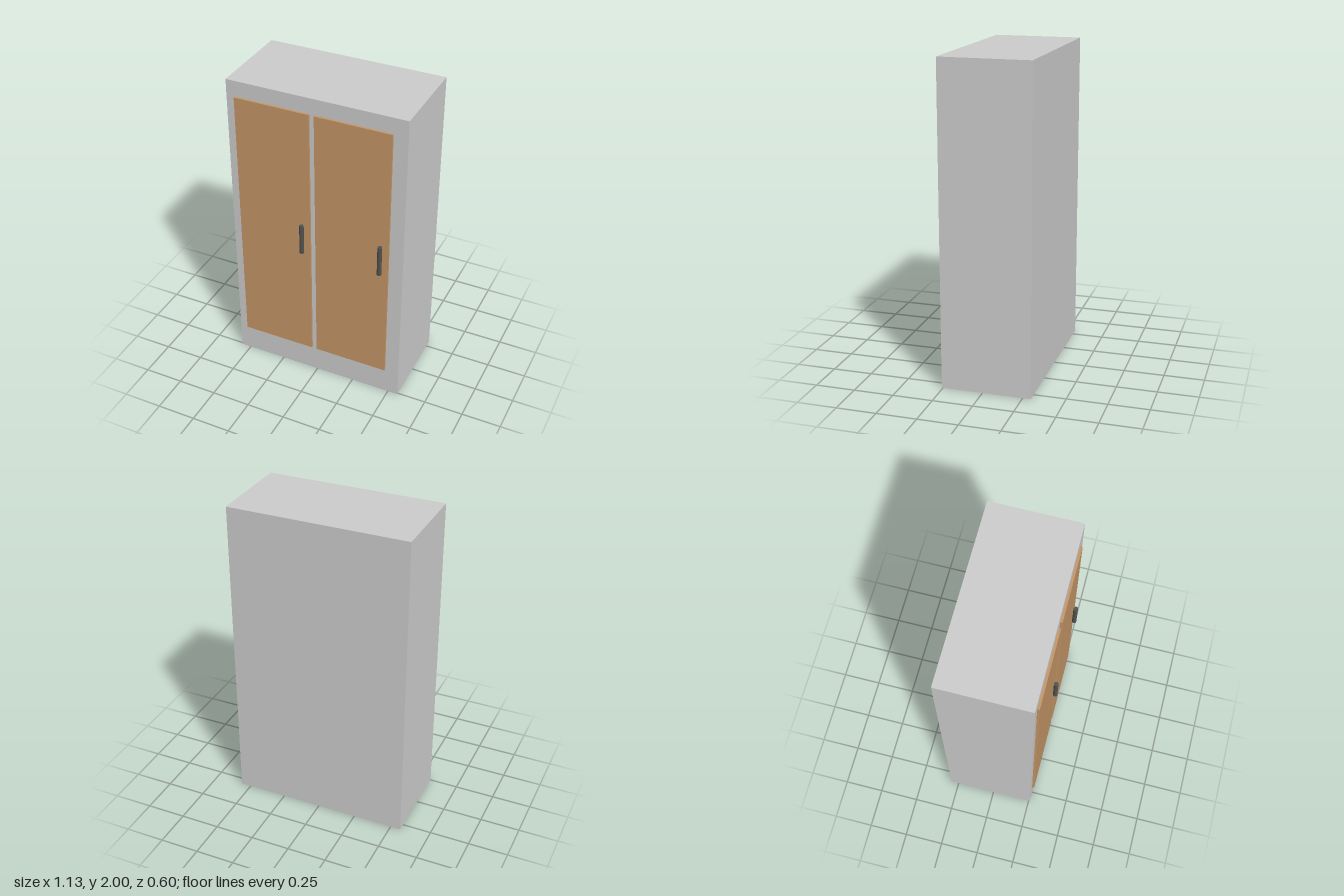
import * as THREE from 'three';

export function createModel() {
  const wardrobe = new THREE.Group();
  wardrobe.name = 'wardrobe';

  const grey = new THREE.MeshStandardMaterial({ color: 0xcccccc });
  const wood = new THREE.MeshStandardMaterial({ color: 0xc39666 });
  const metal = new THREE.MeshStandardMaterial({ color: 0x50524e });

  const add = (name, geometry, material, x, y, z, parent = wardrobe) => {
    const mesh = new THREE.Mesh(geometry, material);
    mesh.name = name;
    mesh.position.set(x, y, z);
    parent.add(mesh);
    return mesh;
  };

  // Cabinet body
  const back = -0.3, front = 0.258;
  add('cabinetBody', new THREE.BoxGeometry(1.13, 2, front - back), grey, 0, 1, (front + back) / 2);

  // Two identical doors, each with an upright bar handle near its +x edge
  const doorGeometry = new THREE.BoxGeometry(0.476, 1.72, 0.014);
  const handleGeometry = new THREE.CylinderGeometry(0.014, 0.014, 0.2, 16);
  for (const [side, x] of [['right', -0.272], ['left', 0.238]]) {
    const door = new THREE.Group();
    door.name = side + 'Door';
    door.position.set(x, 1.04, front);
    wardrobe.add(door);
    add(side + 'DoorPanel', doorGeometry, wood, 0, 0, 0.007, door);
    add(side + 'DoorHandle', handleGeometry, metal, 0.188, 0, 0.028, door);
  }

  return wardrobe;
}
